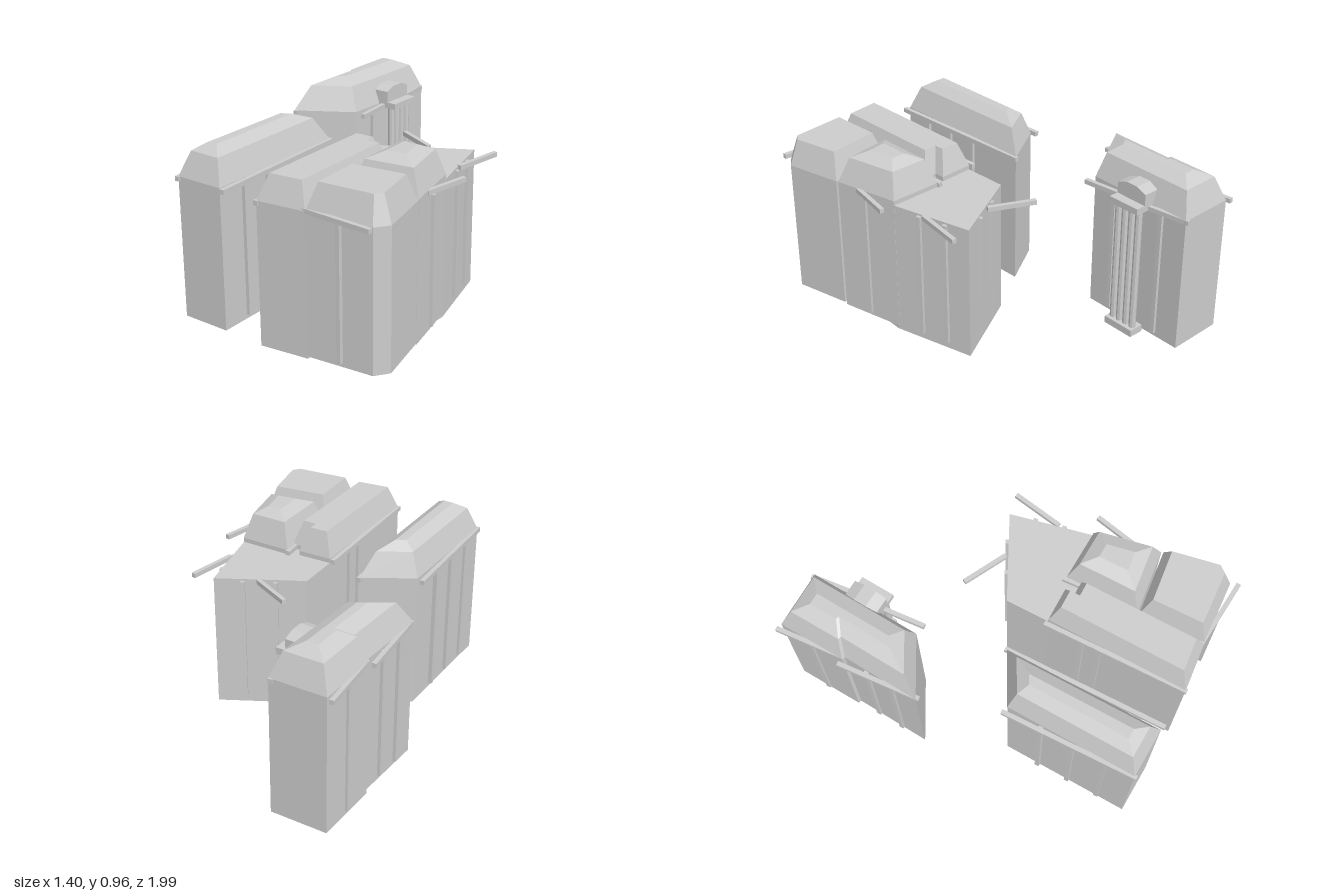
import * as THREE from 'three';

const stone = new THREE.MeshStandardMaterial({ color: 0xcccccc, side: THREE.DoubleSide, flatShading: true });
stone.name = 'pale grey stone';

// Move every edge of a plan [x, z] inward by d with mitred corners
function inset(plan, d) {
  const n = plan.length;
  const dir = (a, b) => {
    const l = Math.hypot(b[0] - a[0], b[1] - a[1]);
    return [(b[0] - a[0]) / l, (b[1] - a[1]) / l];
  };
  return plan.map((p, i) => {
    const u = dir(plan[(i + n - 1) % n], p), v = dir(p, plan[(i + 1) % n]);
    const nx = -u[1] - v[1], nz = u[0] + v[0];
    const k = d / (1 + u[0] * v[0] + u[1] * v[1]);
    return [p[0] + nx * k, p[1] + nz * k];
  });
}

// Open-bottomed shell through levels [inset, y], closed by a flat top
function shell(plan, levels) {
  const pos = [], n = plan.length;
  const rings = levels.map(([d, y]) => inset(plan, d).map(([x, z]) => [x, y, z]));
  for (let r = 0; r + 1 < rings.length; r++) {
    for (let i = 0; i < n; i++) {
      const j = (i + 1) % n, a = rings[r], b = rings[r + 1];
      pos.push(...a[i], ...b[i], ...a[j], ...a[j], ...b[i], ...b[j]);
    }
  }
  const top = rings[rings.length - 1];
  const flat = top.map(p => new THREE.Vector2(p[0], p[2]));
  for (const [a, b, c] of THREE.ShapeUtils.triangulateShape(flat, [])) {
    const turn = (flat[b].x - flat[a].x) * (flat[c].y - flat[a].y) - (flat[b].y - flat[a].y) * (flat[c].x - flat[a].x);
    pos.push(...top[a], ...(turn > 0 ? top[c] : top[b]), ...(turn > 0 ? top[b] : top[c]));
  }
  const g = new THREE.BufferGeometry();
  g.setAttribute('position', new THREE.Float32BufferAttribute(pos, 3));
  g.computeVertexNormals();
  return g;
}

function add(parent, name, geometry, x = 0, y = 0, z = 0) {
  const m = new THREE.Mesh(geometry, stone);
  m.name = name;
  m.position.set(x, y, z);
  parent.add(m);
  return m;
}

// Horizontal gutter between two plan points
function gutter(parent, x0, z0, x1, z1, y = 0.775) {
  const len = Math.hypot(x1 - x0, z1 - z0);
  const m = add(parent, 'gutter', new THREE.BoxGeometry(0.024, 0.025, len), (x0 + x1) / 2, y, (z0 + z1) / 2);
  m.rotation.y = Math.atan2(x1 - x0, z1 - z0);
}

// Vertical downpipe
function pipe(parent, x, z, y0 = 0.045, y1 = 0.77, turn = 0) {
  const m = add(parent, 'downpipe', new THREE.BoxGeometry(0.022, y1 - y0, 0.024), x, (y0 + y1) / 2, z);
  m.rotation.y = turn;
}

function group(parent, name) {
  const g = new THREE.Group();
  g.name = name;
  parent.add(g);
  return g;
}

export function createModel() {
  const model = new THREE.Group();
  model.name = 'townBlocks';

  // Rear house with a stepped side wall
  const rear = group(model, 'rearHouse');
  add(rear, 'rearHouseShell', shell(
    [[-0.645, -0.988], [-0.33, -0.98], [-0.365, -0.355], [-0.672, -0.185], [-0.645, -0.612], [-0.662, -0.618]],
    [[0, 0.02], [0, 0.785], [0.05, 0.92], [0.125, 0.958]]));
  gutter(rear, -0.675, -1, -0.648, -0.62);
  gutter(rear, -0.69, -0.63, -0.658, -0.175);
  gutter(rear, -0.345, -0.99, -0.322, -0.75);
  gutter(rear, -0.325, -0.57, -0.308, -0.34);
  for (const [x, z] of [[-0.655, -0.81], [-0.658, -0.48], [-0.668, -0.33], [-0.352, -0.5], [-0.332, -0.825]]) pipe(rear, x, z);

  // Columned porch on the rear house
  const porch = group(rear, 'porch');
  porch.position.set(-0.29, 0, -0.66);
  porch.rotation.y = -0.055;
  add(porch, 'porchBase', new THREE.BoxGeometry(0.085, 0.04, 0.19), 0.005, 0.04, 0);
  add(porch, 'porchLintel', new THREE.BoxGeometry(0.11, 0.035, 0.19), 0, 0.782, 0);
  for (let i = 0; i < 4; i++) {
    add(porch, 'porchColumn', new THREE.CylinderGeometry(0.019, 0.019, 0.71, 8), 0.01, 0.412, -0.069 + i * 0.046);
  }
  const gable = new THREE.Shape();
  gable.moveTo(-0.095, 0.78);
  for (const [x, y] of [[0.095, 0.78], [0.095, 0.862], [0.035, 0.885], [-0.035, 0.885], [-0.095, 0.862]]) gable.lineTo(x, y);
  gable.closePath();
  const dormer = add(porch, 'porchDormer',
    new THREE.ExtrudeGeometry(gable, { depth: 0.12, bevelEnabled: false }), -0.12, 0, 0);
  dormer.rotation.y = Math.PI / 2;

  // Long house at the front
  const long = group(model, 'longHouse');
  add(long, 'longHouseShell', shell(
    [[-0.487, 0.235], [-0.222, 0.09], [-0.232, 0.962], [-0.505, 0.952]],
    [[0, 0.02], [0, 0.785], [0.048, 0.915], [0.108, 0.955]]));
  gutter(long, -0.52, 0.22, -0.505, 0.965);
  gutter(long, -0.22, 0.08, -0.208, 0.975);
  for (const z of [0.43, 0.61, 0.79]) {
    pipe(long, -0.503, z);
    pipe(long, -0.222, z);
  }

  // Corner block made of joined houses
  const corner = group(model, 'cornerBlock');
  add(corner, 'flatRoofWing', shell(
    [[0.02, -0.04], [0.46, -0.26], [0.56, 0.19], [0.555, 0.27], [0.02, 0.27]],
    [[0, 0], [0, 0.76]]));
  add(corner, 'sideWing', shell(
    [[0.02, 0.2], [0.21, 0.2], [0.21, 0.255], [0.285, 0.255], [0.278, 0.958], [0.01, 0.982]],
    [[0, 0.02], [0, 0.785], [0.045, 0.918]]));
  add(corner, 'towerWing', shell(
    [[0.272, 0.175], [0.56, 0.185], [0.63, 0.545], [0.27, 0.585]],
    [[0, 0.02], [0, 0.785], [0.045, 0.922], [0.115, 0.955]]));
  add(corner, 'frontWing', shell(
    [[0.27, 0.595], [0.635, 0.555], [0.695, 0.865], [0.64, 0.935], [0.278, 0.958]],
    [[0, 0.032], [0, 0.785], [0.045, 0.927]]));
  gutter(corner, -0.003, 0.19, 0.01, 0.99);
  gutter(corner, 0.262, 0.16, 0.27, 0.3);
  gutter(corner, 0.26, 0.945, 0.655, 0.975, 0.785);
  gutter(corner, 0.655, 0.165, 0.6, 0.42);
  gutter(corner, 0.575, -0.28, 0.525, 0.0, 0.755);
  gutter(corner, 0.01, -0.285, 0.24, -0.165, 0.755);
  pipe(corner, 0.012, 0.4);
  pipe(corner, 0.012, 0.5);
  pipe(corner, 0.465, 0.955, 0.055, 0.77);
  for (const [x, z] of [[0.602, 0.37], [0.53, 0.03], [0.497, -0.125]]) pipe(corner, x, z, 0.04, 0.75, 0.2);
  for (const [x, z] of [[0.165, -0.118], [0.32, -0.196]]) pipe(corner, x, z, 0.04, 0.75, 0.46);

  return model;
}
